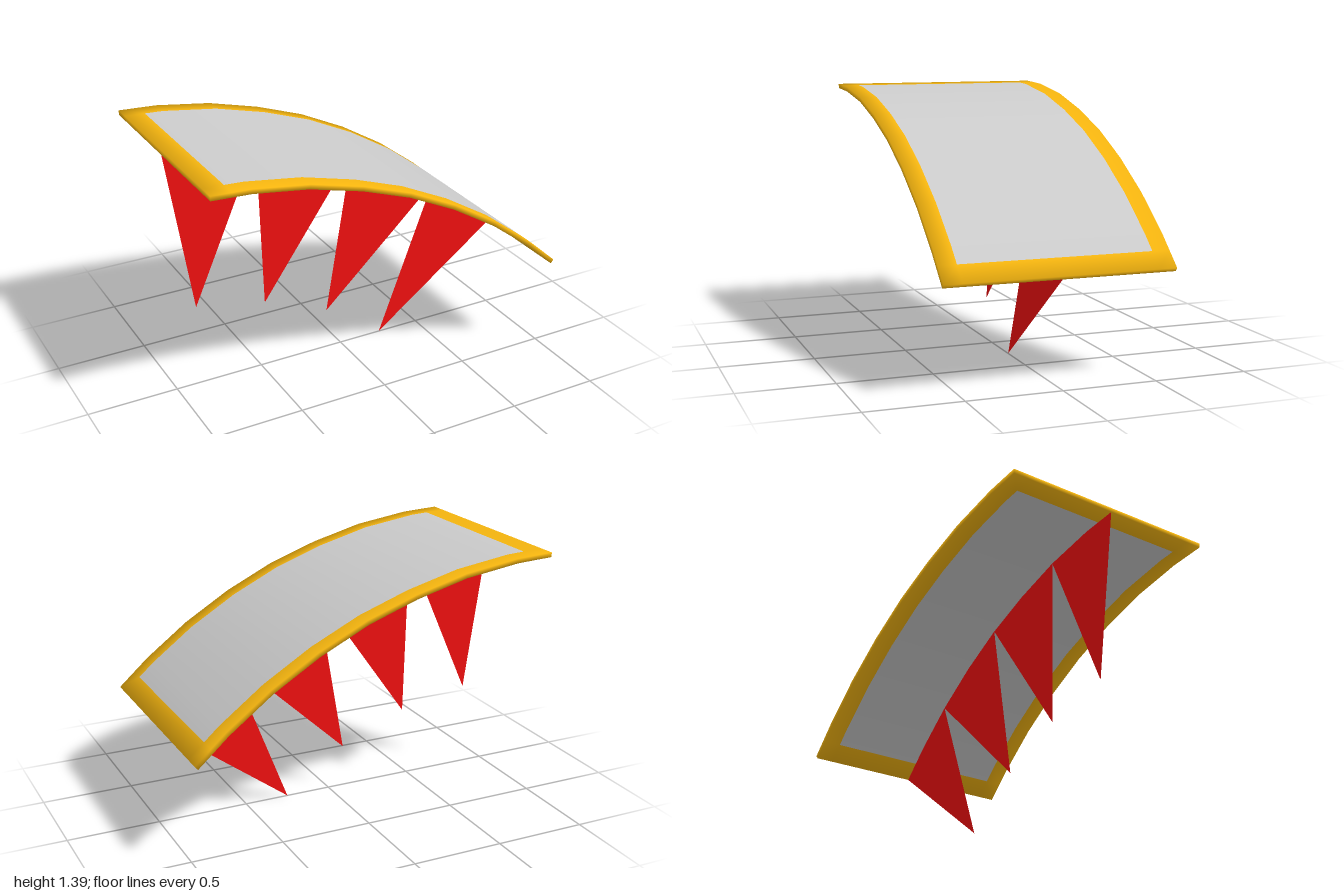
import * as THREE from 'three';

// Top profile of the curved panel (x, y), running from the high end to the low end
const ARC = [
  [-1, 1.395], [-0.89, 1.39], [-0.79, 1.385], [-0.487, 1.342], [-0.198, 1.267], [0.075, 1.171],
  [0.342, 1.043], [0.599, 0.888], [0.834, 0.711], [0.915, 0.639], [1, 0.563],
].map(([x, y]) => new THREE.Vector2(x, y));
const ROWS = [-0.605, -0.51, 0.51, 0.605]; // z lines: outer edge, border, border, outer edge
const THICKNESS = 0.025;
const LAST = ARC.length - 1;

// Unit tangent and upward normal of the profile at point i
function frame(i) {
  const t = ARC[Math.min(i + 1, LAST)].clone().sub(ARC[Math.max(i - 1, 0)]).normalize();
  return { t, n: new THREE.Vector2(-t.y, t.x) };
}

// Underside of the profile; the high end is cut vertically
const UNDER = ARC.map((p, i) => (i === 0
  ? new THREE.Vector2(p.x, p.y - THICKNESS)
  : p.clone().addScaledVector(frame(i).n, -THICKNESS)));

// Closed thin slab with soft rounded-looking edges, split into border and centre
function buildPanel() {
  const positions = [], normals = [], border = [], centre = [];
  for (const side of [1, -1]) {
    for (let i = 0; i <= LAST; i++) {
      const { t, n } = frame(i);
      const p = side > 0 ? ARC[i] : UNDER[i];
      const end = i === 0 ? -1 : i === LAST ? 1 : 0;
      ROWS.forEach((z, j) => {
        const edge = j === 0 ? -1 : j === 3 ? 1 : 0;
        const v = new THREE.Vector3(n.x * side + t.x * end, n.y * side + t.y * end, edge).normalize();
        positions.push(p.x, p.y, z);
        normals.push(v.x, v.y, v.z);
      });
    }
  }
  const top = (i, j) => i * 4 + j;
  const low = (i, j) => (LAST + 1 + i) * 4 + j;
  const quad = (list, a, b, c, d) => list.push(a, b, c, a, c, d);

  for (let i = 0; i < LAST; i++) {
    for (let j = 0; j < 3; j++) {
      const list = j === 1 && i > 0 && i < LAST - 1 ? centre : border;
      quad(list, top(i, j), top(i, j + 1), top(i + 1, j + 1), top(i + 1, j));
      quad(list, low(i, j), low(i + 1, j), low(i + 1, j + 1), low(i, j + 1));
    }
    // long side walls
    quad(border, top(i, 3), low(i, 3), low(i + 1, 3), top(i + 1, 3));
    quad(border, top(i, 0), top(i + 1, 0), low(i + 1, 0), low(i, 0));
  }
  // end walls
  for (let j = 0; j < 3; j++) {
    quad(border, top(0, j), low(0, j), low(0, j + 1), top(0, j + 1));
    quad(border, top(LAST, j), top(LAST, j + 1), low(LAST, j + 1), low(LAST, j));
  }
  const pos = new THREE.Float32BufferAttribute(positions, 3);
  const nor = new THREE.Float32BufferAttribute(normals, 3);
  return [border, centre].map((index) => {
    const g = new THREE.BufferGeometry();
    g.setAttribute('position', pos);
    g.setAttribute('normal', nor);
    g.setIndex(index);
    return g;
  });
}

export function createModel() {
  const model = new THREE.Group();
  model.name = 'spikedCanopy';
  const add = (parent, name, geometry, material) => {
    const mesh = new THREE.Mesh(geometry, material);
    mesh.name = name;
    parent.add(mesh);
  };

  // Curved panel
  const panel = new THREE.Group();
  panel.name = 'curvedPanel';
  const [border, centre] = buildPanel();
  add(panel, 'panelBorder', border, new THREE.MeshStandardMaterial({ color: 0xf5b50f }));
  add(panel, 'panelCentre', centre, new THREE.MeshStandardMaterial({ color: 0xcccccc }));
  model.add(panel);

  // Flat triangular fins hanging along the middle: first and last profile point, tip
  const fins = new THREE.Group();
  fins.name = 'fins';
  const red = new THREE.MeshStandardMaterial({ color: 0xf01010, side: THREE.DoubleSide });
  [
    [0, 3, -0.865, 0.47],
    [3, 5, -0.467, 0.39],
    [5, 7, -0.09, 0.235],
    [7, LAST, 0.253, 0],
  ].forEach(([from, to, x, y], k) => {
    const outline = [...UNDER.slice(from, to + 1), new THREE.Vector2(x, y)];
    add(fins, `fin${k + 1}`, new THREE.ShapeGeometry(new THREE.Shape(outline)), red);
  });
  model.add(fins);

  return model;
}
